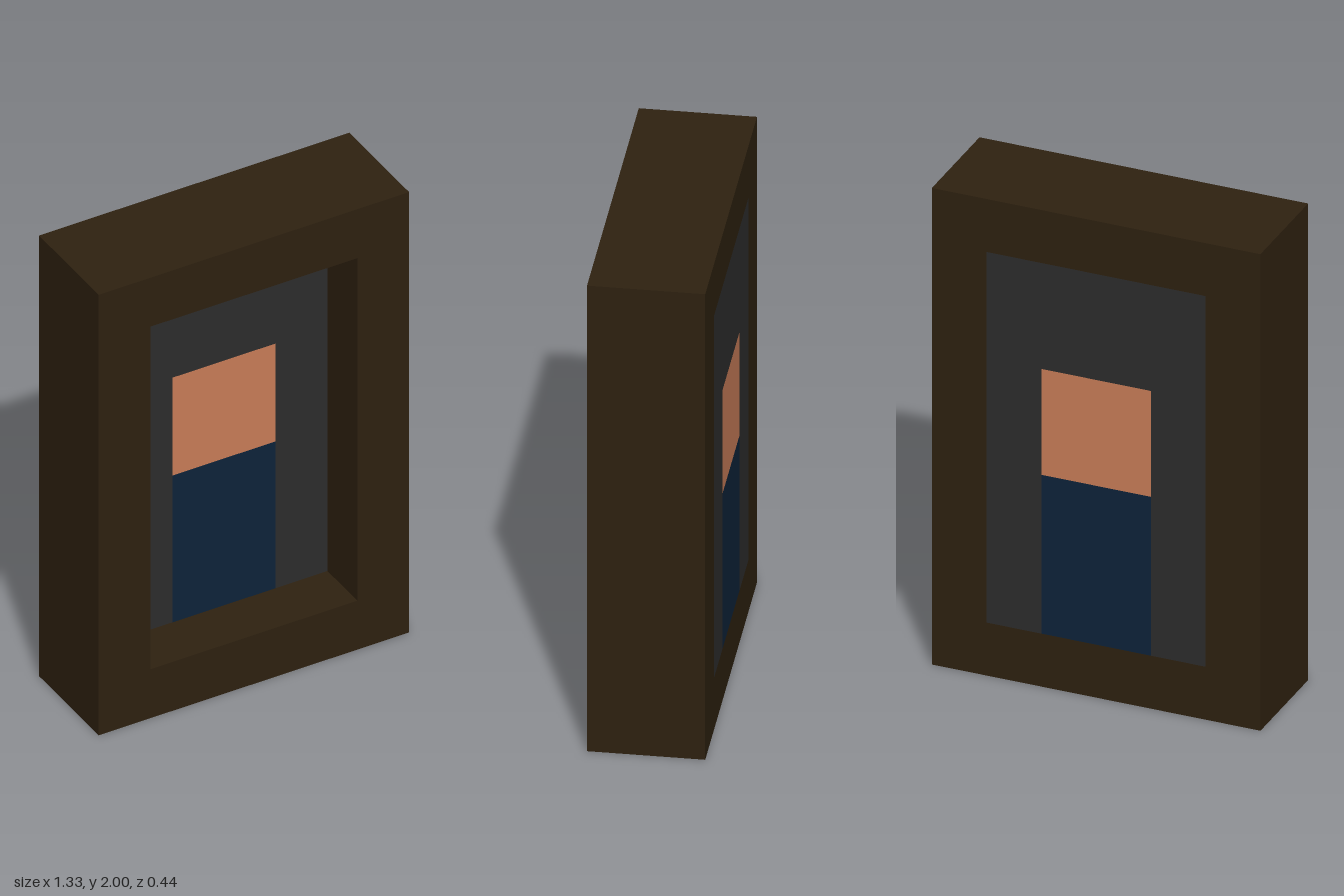
import * as THREE from 'three';

const mat = (name, color) => {
  const m = new THREE.MeshStandardMaterial({ color });
  m.name = name;
  return m;
};

// Closed rectangle path from its left, bottom, right and top edges
const rect = (Type, l, b, r, t) => {
  const p = new Type();
  p.moveTo(l, b).lineTo(r, b).lineTo(r, t).lineTo(l, t).closePath();
  return p;
};

export function createModel() {
  const U = 2 / 9; // the whole design sits on this unit
  const wood = mat('dark wood', 0x2e2110);
  const grey = mat('charcoal backdrop', 0x2d2d2d);
  const skin = mat('terracotta', 0xc97d58);
  const navy = mat('navy', 0x0d233a);

  const model = new THREE.Group();
  model.name = 'framedPortrait';

  // Deep frame with a rectangular opening right through it
  const outline = rect(THREE.Shape, -3 * U, 0, 3 * U, 9 * U);
  outline.holes.push(rect(THREE.Path, -2 * U, U, 2 * U, 8 * U));
  const frameGeo = new THREE.ExtrudeGeometry(outline, { depth: 2 * U, bevelEnabled: false });
  frameGeo.translate(0, 0, -U);
  const frame = new THREE.Mesh(frameGeo, wood);
  frame.name = 'frame';
  model.add(frame);

  // Picture slab: recessed at the front, flush at the back, colours run through
  const picture = new THREE.Group();
  picture.name = 'picture';
  model.add(picture);
  const block = (name, material, l, b, r, t) => {
    const mesh = new THREE.Mesh(new THREE.BoxGeometry((r - l) * U, (t - b) * U, U), material);
    mesh.position.set((l + r) / 2 * U, (b + t) / 2 * U, -U / 2);
    mesh.name = name;
    picture.add(mesh);
  };
  block('backdropLeft', grey, 1, 1, 2, 8);
  block('backdropRight', grey, -2, 1, -1, 8);
  block('backdropTop', grey, -1, 6, 1, 8);
  block('head', skin, -1, 4, 1, 6);
  block('body', navy, -1, 1, 1, 4);

  return model;
}
